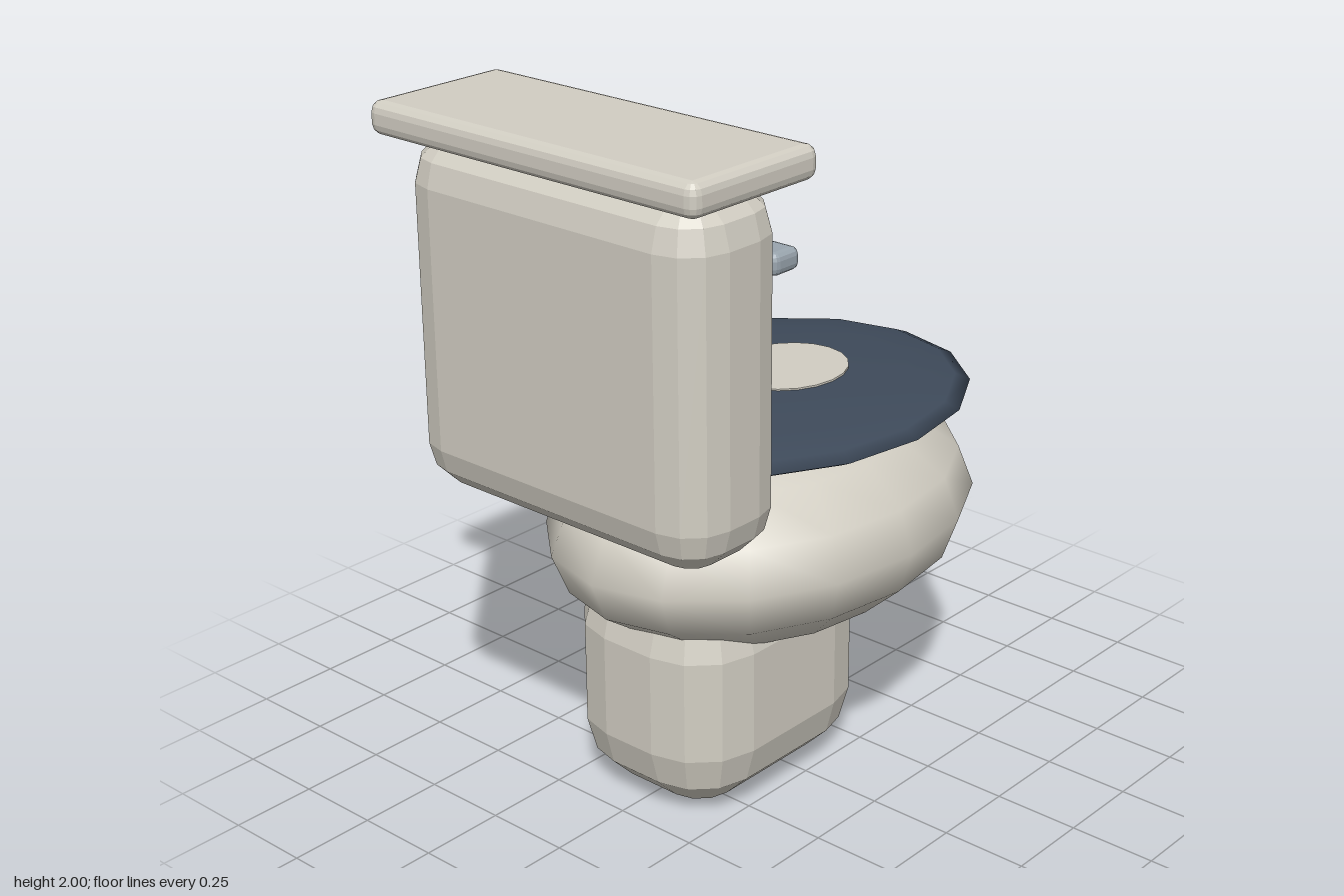
import * as THREE from 'three';
import { ConvexGeometry } from 'three/addons/geometries/ConvexGeometry.js';

const material = (name, color, flatShading = false) => {
  const m = new THREE.MeshStandardMaterial({ color, flatShading });
  m.name = name;
  return m;
};

// Box between two corners, every edge rounded in three 30-degree facets
function facetedBox([x0, y0, z0], [x1, y1, z1], r) {
  const points = [];
  for (const sx of [-1, 1]) for (const sy of [-1, 1]) for (const sz of [-1, 1]) {
    for (let i = 0; i <= 3; i++) {
      for (let j = 0; j <= (i === 3 ? 0 : 3); j++) {
        const lat = i * Math.PI / 6, lon = j * Math.PI / 6;
        points.push(new THREE.Vector3(
          (x0 + x1) / 2 + sx * ((x1 - x0) / 2 - r + r * Math.cos(lat) * Math.cos(lon)),
          (y0 + y1) / 2 + sy * ((y1 - y0) / 2 - r + r * Math.sin(lat)),
          (z0 + z1) / 2 + sz * ((z1 - z0) / 2 - r + r * Math.cos(lat) * Math.sin(lon))
        ));
      }
    }
  }
  return new ConvexGeometry(points);
}

// Smooth low-poly ellipsoid
function ellipsoid(rx, ry, rz, x, y, z) {
  return new THREE.SphereGeometry(1, 16, 8).scale(rx, ry, rz).translate(x, y, z);
}

export function createModel() {
  const group = new THREE.Group();
  const ceramic = material('ceramic', 0xd2cec3);
  const navy = material('navy seat', 0x3e4a5a);
  const steel = material('steel', 0x9aa5ae);

  const add = (name, geometry, mat) => {
    const mesh = new THREE.Mesh(geometry, mat);
    mesh.name = name;
    group.add(mesh);
  };

  // Pedestal and bowl
  add('pedestal', facetedBox([-0.285, 0, -0.28], [0.285, 0.7, 0.47], 0.2), ceramic);
  add('bowl', ellipsoid(0.53, 0.32, 0.7, 0, 0.74, -0.1), ceramic);

  // Seat with the pale oval in its middle
  add('seat', ellipsoid(0.52, 0.055, 0.63, 0, 1.07, -0.125), navy);
  add('seatOpening',
    new THREE.CylinderGeometry(1, 1, 0.009, 20).scale(0.165, 1, 0.19).translate(0, 1.1225, -0.2), ceramic);

  // Cistern, its lid and the flush handle
  add('tank', facetedBox([-0.515, 0.94, 0.39], [0.515, 1.92, 0.76], 0.13), ceramic);
  add('tankLid', facetedBox([-0.555, 1.91, 0.345], [0.555, 2, 0.8], 0.03), ceramic);
  add('flushHandle', facetedBox([0.23, 1.65, 0.3], [0.46, 1.71, 0.4], 0.02), steel);

  return group;
}
